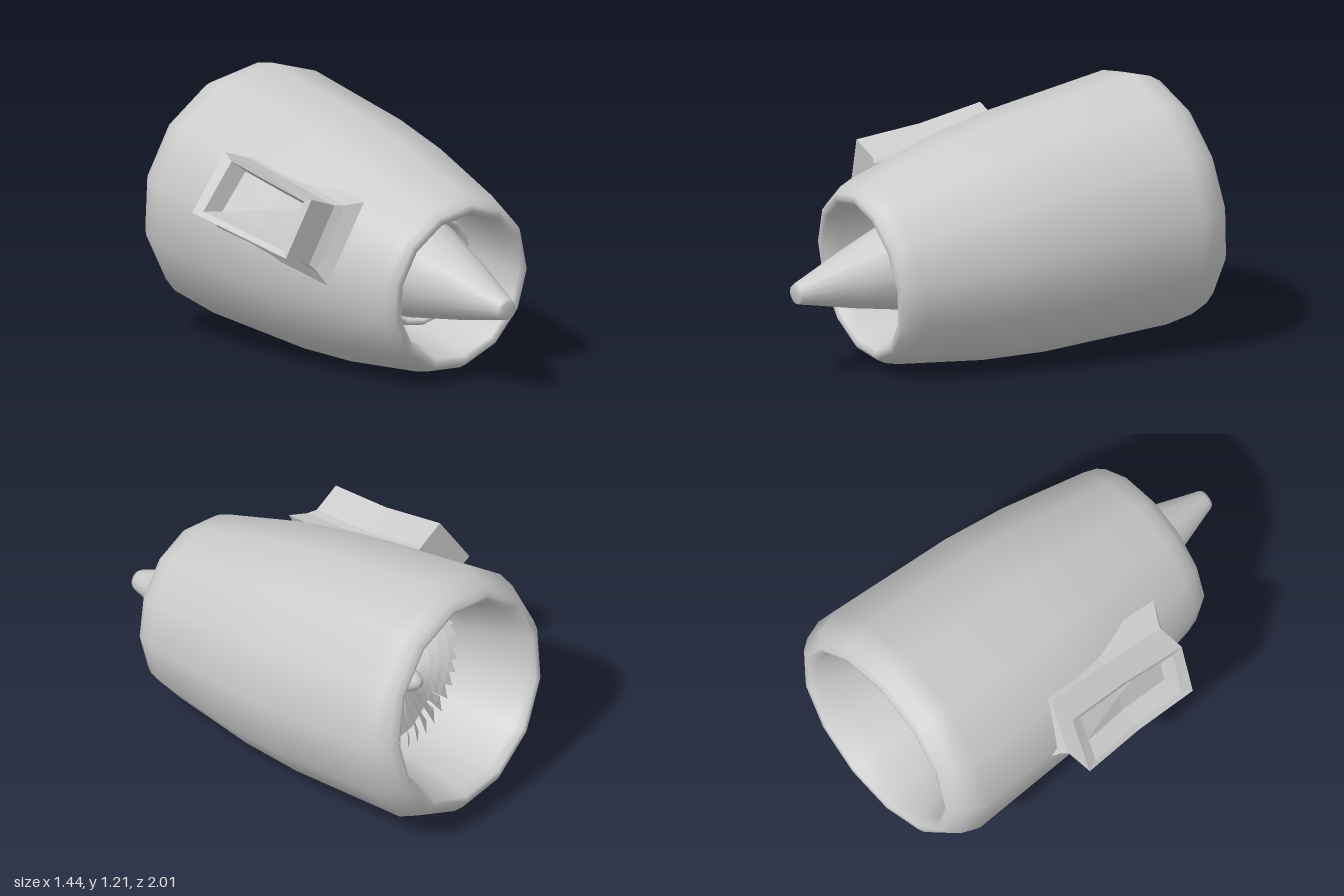
import * as THREE from 'three';

const material = new THREE.MeshStandardMaterial({ color: 0xcccccc, side: THREE.DoubleSide });
const flatMaterial = new THREE.MeshStandardMaterial({ color: 0xcccccc, side: THREE.DoubleSide, flatShading: true });

function part(name, geometry, mat = material) {
  const mesh = new THREE.Mesh(geometry, mat);
  mesh.name = name;
  return mesh;
}

// Surface of revolution from [distance along axis, radius] pairs
function turned(name, profile, sides, start = 0) {
  const points = profile.map(([t, r]) => new THREE.Vector2(r, t));
  return part(name, new THREE.LatheGeometry(points, sides, start));
}

// Thin blade along +x, twisted from root to tip
function bladeGeometry(root, tip) {
  const g = new THREE.PlaneGeometry(1, 1, 5, 1);
  const p = g.attributes.position;
  for (let i = 0; i < p.count; i++) {
    const s = p.getX(i) + 0.5;
    const chord = p.getY(i) * (0.035 + 0.045 * s);
    const twist = 0.45 + 0.5 * s;
    p.setXYZ(i, root + (tip - root) * s, chord * Math.cos(twist), chord * Math.sin(twist));
  }
  g.computeVertexNormals();
  return g;
}

// Mounting pylon: six-point rings lofted from the recess floor to the flared foot
function pylonGeometry() {
  const v = (x, y, z) => new THREE.Vector3(x, y, z);
  const out = v(-0.935, 0.345, -0.075).normalize();
  const outer = [
    v(-0.71, 0.64, 0.23), v(-0.67, 0.68, -0.08), v(-0.658, 0.735, -0.39),
    v(-0.5, 0.995, -0.335), v(-0.535, 0.938, -0.025), v(-0.595, 0.9, 0.28),
  ];
  const centre = outer.reduce((a, p) => a.add(p), v(0, 0, 0)).divideScalar(outer.length);
  const across = v(0.13, 0.26, 0.05).normalize();
  const along = v(0.08, 0.1, -0.62).normalize();
  // [depth below the outer face, widening across, widening along]
  const steps = [[0.1, -0.05, -0.07], [0.012, -0.025, -0.05], [0, 0, 0], [0.15, 0, 0], [0.19, 0.015, 0.02], [0.25, 0.06, 0.06]];
  const rings = steps.map(([depth, wide, long]) => outer.map((p, i) => {
    const a = i < 3 ? -1 : 1;
    const l = [-1, 0, 1, 1, 0, -1][i];
    return p.clone().addScaledVector(out, -depth)
      .addScaledVector(across, a * wide).addScaledVector(along, l * long);
  }));
  const pos = [];
  const tri = (...ps) => ps.forEach((p) => pos.push(p.x, p.y, p.z));
  for (let k = 0; k < rings.length - 1; k++) {
    for (let i = 0; i < 6; i++) {
      const j = (i + 1) % 6;
      const [a, b, c, d] = [rings[k][i], rings[k][j], rings[k + 1][j], rings[k + 1][i]];
      tri(a, d, b);
      tri(b, d, c);
    }
  }
  // Recess floor
  const floor = centre.clone().addScaledVector(out, -0.1);
  for (let i = 0; i < 6; i++) tri(floor, rings[0][i], rings[0][(i + 1) % 6]);
  const g = new THREE.BufferGeometry();
  g.setAttribute('position', new THREE.Float32BufferAttribute(pos, 3));
  g.computeVertexNormals();
  return g;
}

export function createModel() {
  const model = new THREE.Group();
  model.name = 'jetEngine';

  // Engine axis: local y points to the exhaust, tilted down and to the side
  const engine = new THREE.Group();
  engine.name = 'engineBody';
  const axis = new THREE.Vector3(-0.125, -0.124, 1).normalize();
  const side = new THREE.Vector3(1, 0, 0);
  side.addScaledVector(axis, -side.dot(axis)).normalize();
  const basis = new THREE.Matrix4().makeBasis(side, axis, side.clone().cross(axis));
  engine.quaternion.setFromRotationMatrix(basis);
  engine.position.set(0.052, 0.538, 0);
  model.add(engine);

  const start = THREE.MathUtils.degToRad(94);

  // Nacelle: intake wall, rounded lip, outer skin, exhaust rim and duct wall
  engine.add(turned('nacelle', [
    [-0.46, 0.37], [-0.62, 0.385], [-0.8, 0.425], [-0.89, 0.45], [-0.925, 0.475], [-0.93, 0.495],
    [-0.91, 0.525], [-0.86, 0.562], [-0.77, 0.593],
    [-0.15, 0.56], [0.16, 0.52], [0.58, 0.432], [0.64, 0.412], [0.675, 0.388],
    [0.685, 0.365], [0.67, 0.345], [0.6, 0.325], [0.42, 0.315], [-0.46, 0.37],
  ], 13, start));

  // Bulkhead behind the fan and the core casing
  engine.add(turned('bulkhead', [[-0.46, 0], [-0.46, 0.37]], 26, start));
  engine.add(turned('coreCasing', [
    [-0.46, 0.29], [0.2, 0.28], [0.43, 0.262], [0.44, 0.25], [0.43, 0.238], [0.36, 0.235],
  ], 16, start));

  // Exhaust cone with a flat tip
  engine.add(turned('exhaustCone', [
    [0.36, 0.235], [0.42, 0.226], [0.73, 0.137], [0.96, 0.062], [1.0, 0.05], [1.015, 0.042], [1.015, 0],
  ], 16, start));

  // Fan
  const fan = new THREE.Group();
  fan.name = 'fan';
  fan.position.y = -0.53;
  const blade = bladeGeometry(0.04, 0.365);
  const count = 36;
  for (let i = 0; i < count; i++) {
    const mesh = part('fanBlade', blade, flatMaterial);
    mesh.rotation.y = (i / count) * Math.PI * 2;
    fan.add(mesh);
  }
  fan.add(turned('spinner', [
    [-0.12, 0], [-0.115, 0.022], [-0.09, 0.042], [-0.04, 0.06], [0.07, 0.068],
  ], 16));
  engine.add(fan);

  model.add(part('pylon', pylonGeometry(), flatMaterial));
  return model;
}
